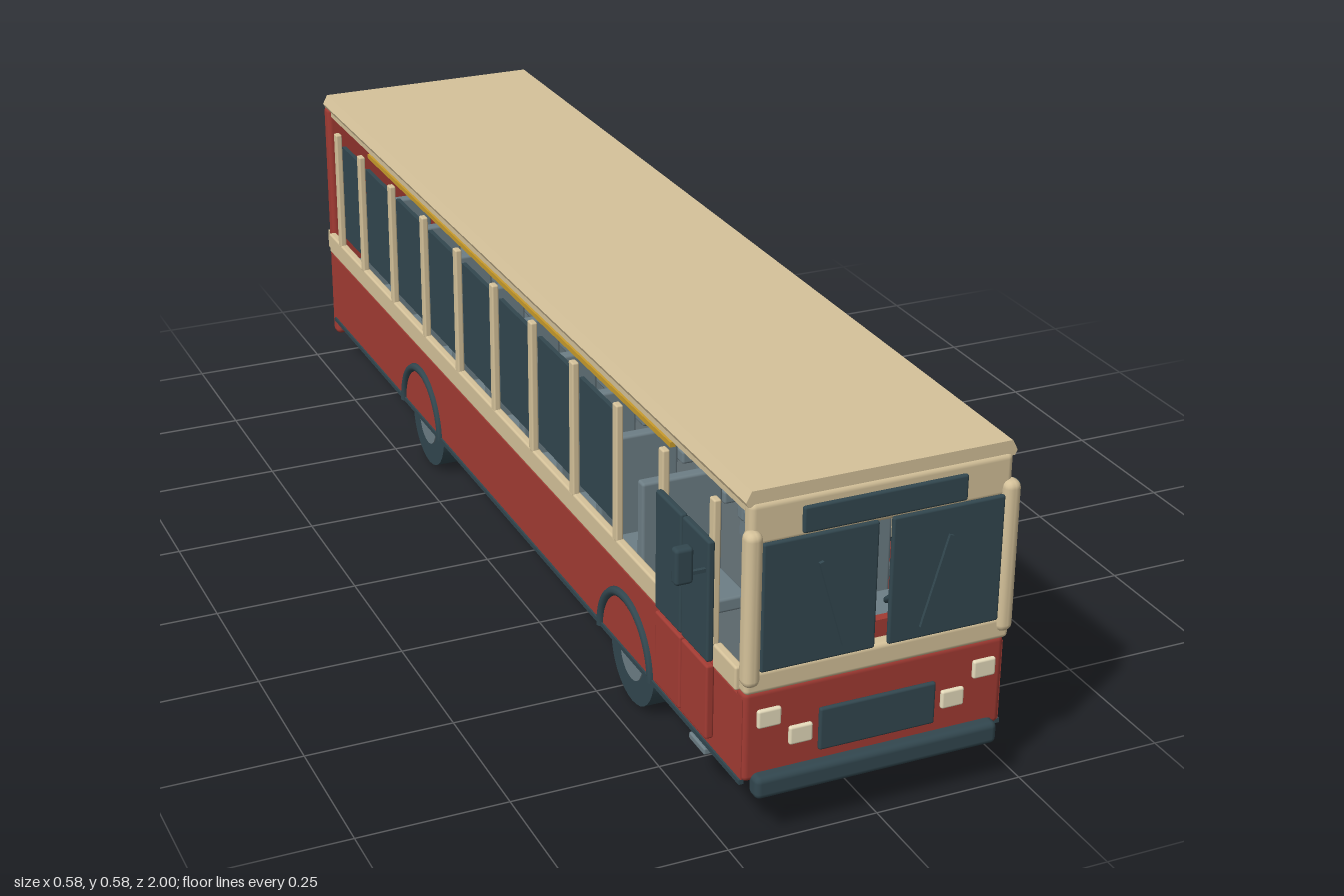
import * as THREE from 'three';
import { RoundedBoxGeometry } from 'three/addons/geometries/RoundedBoxGeometry.js';

const mat = (name, color) => {
  const m = new THREE.MeshStandardMaterial({ color });
  m.name = name;
  return m;
};

export function createModel() {
  const red = mat('red paint', 0xa23b33);
  const beige = mat('beige paint', 0xd5c29a);
  const dark = mat('dark slate', 0x32474f);
  const grey = mat('steel grey', 0x6d7e85);
  const floorGrey = mat('floor grey', 0x5c676c);
  const cream = mat('lamp cream', 0xe6dcbc);
  const yellow = mat('rail yellow', 0xc89b2c);

  const bus = new THREE.Group();
  bus.name = 'bus';

  const add = (name, geometry, material, x = 0, y = 0, z = 0) => {
    const mesh = new THREE.Mesh(geometry, material);
    mesh.name = name;
    mesh.position.set(x, y, z);
    bus.add(mesh);
    return mesh;
  };
  // Box given by its limits on each axis; r rounds the edges
  const box = (name, material, [x0, x1], [y0, y1], [z0, z1], r = 0) => {
    const s = [x1 - x0, y1 - y0, z1 - z0];
    const g = r ? new RoundedBoxGeometry(...s, 2, Math.min(r, Math.min(...s) * 0.45)) : new THREE.BoxGeometry(...s);
    return add(name, g, material, (x0 + x1) / 2, (y0 + y1) / 2, (z0 + z1) / 2);
  };
  // Same box on one side of the bus: +1 is its left, -1 its right
  const sideBox = (side, name, material, [x0, x1], y, z, r) =>
    box(name, material, side > 0 ? [x0, x1] : [-x1, -x0], y, z, r);
  const bothSides = (...args) => [1, -1].forEach((s) => sideBox(s, ...args));

  // Shell: floor, lower walls, ends and roof
  box('chassisFloor', floorGrey, [-0.215, 0.215], [0.09, 0.105], [-0.96, 0.96]);
  bothSides('lowerWall', red, [0.205, 0.22], [0.1, 0.238], [-0.95, 0.975]);
  bothSides('skirtTrim', dark, [0.215, 0.223], [0.092, 0.1], [-0.95, 0.975]);
  box('frontPanel', red, [-0.22, 0.22], [0.095, 0.25], [0.95, 0.98], 0.01);
  box('dashboardPanel', red, [-0.2, 0.2], [0.24, 0.315], [0.95, 0.965]);
  box('rearPanel', red, [-0.22, 0.22], [0.062, 0.555], [-0.975, -0.945], 0.01);
  box('roofRail', beige, [-0.213, 0.213], [0.537, 0.558], [-0.95, 0.972]);

  // Roof slab with chamfered upper edges
  const roofShape = new THREE.Shape([
    [-0.218, 0.552], [0.218, 0.552], [0.222, 0.56], [0.213, 0.577], [-0.213, 0.577], [-0.222, 0.56],
  ].map(([x, y]) => new THREE.Vector2(x, y)));
  add('roof', new THREE.ExtrudeGeometry(roofShape, { depth: 1.944, bevelEnabled: false }), beige, 0, 0, -0.967);

  // Windscreen frame
  box('frontHeader', beige, [-0.216, 0.216], [0.487, 0.558], [0.955, 0.981], 0.01);
  box('frontBelt', beige, [-0.222, 0.222], [0.248, 0.287], [0.96, 0.987], 0.008);
  bothSides('cornerPost', beige, [0.198, 0.226], [0.262, 0.516], [0.965, 0.995], 0.013);

  // Belt lines along the sides, stopped at the door on the right
  sideBox(1, 'sideBelt', beige, [0.214, 0.229], [0.25, 0.29], [-0.945, 0.968], 0.004);
  sideBox(-1, 'sideBelt', beige, [0.214, 0.229], [0.25, 0.29], [-0.945, 0.7], 0.004);
  sideBox(-1, 'frontSideBelt', beige, [0.214, 0.229], [0.25, 0.29], [0.89, 0.968], 0.004);

  // Pillars with a window pane in each bay
  const pillars = [0.88, 0.7, 0.525, 0.347, 0.167, -0.012, -0.193, -0.37, -0.55, -0.73, -0.874];
  pillars.forEach((z, i) => {
    bothSides('windowPillar', beige, [0.217, 0.229], [0.285, 0.525], [z - 0.009, z + 0.009], 0.003);
    if (i === pillars.length - 1) return;
    const pane = [pillars[i + 1] + 0.016, z - 0.016];
    sideBox(1, 'sideWindow', dark, [0.212, 0.22], [0.308, 0.503], pane);
    if (i > 1) sideBox(-1, 'sideWindow', dark, [0.212, 0.22], [0.308, 0.503], pane);
  });

  // Two-leaf door on the right side, with a step below
  for (const z of [0.702, 0.798]) {
    sideBox(-1, 'doorGlass', dark, [0.226, 0.238], [0.258, 0.46], [z, z + 0.092], 0.004);
    sideBox(-1, 'doorPanel', red, [0.224, 0.238], [0.125, 0.252], [z, z + 0.092], 0.004);
  }
  box('doorStep', grey, [-0.222, -0.15], [0.072, 0.084], [0.797, 0.853], 0.003);
  for (const z of [0.802, 0.848]) box('stepBracket', grey, [-0.18, -0.17], [0.08, 0.095], [z - 0.004, z + 0.004]);

  // Front face: windscreens, wipers, sign, grille
  bothSides('windscreen', dark, [0.011, 0.199], [0.285, 0.496], [0.982, 0.991], 0.004);
  box('frontSign', dark, [-0.135, 0.135], [0.499, 0.542], [0.981, 0.99], 0.004);
  box('frontGrille', dark, [-0.098, 0.098], [0.129, 0.201], [0.982, 0.991], 0.004);
  for (const s of [1, -1]) {
    const wiper = add('wiper', new THREE.BoxGeometry(0.007, 0.152, 0.005), dark, s * 0.086, 0.378, 0.994);
    wiper.rotation.z = -s * 0.285;
  }

  // Rear face: belt, windows, sign, plate
  const rear = [-0.99, -0.981];
  box('rearBelt', beige, [-0.22, 0.22], [0.248, 0.284], [-0.979, -0.97]);
  bothSides('rearWindow', dark, [0.015, 0.198], [0.322, 0.485], rear, 0.004);
  box('rearSign', dark, [-0.125, 0.125], [0.497, 0.53], rear, 0.004);
  box('rearPlate', dark, [-0.085, 0.085], [0.17, 0.212], rear, 0.004);

  // Lamps and bumpers on both ends
  for (const z of [[0.982, 0.991], rear]) {
    bothSides('outerLamp', cream, [0.162, 0.201], [0.19, 0.221], z, 0.004);
    bothSides('innerLamp', cream, [0.109, 0.148], [0.15, 0.181], z, 0.004);
  }
  box('frontBumper', dark, [-0.206, 0.206], [0.072, 0.11], [0.97, 1], 0.01);
  box('rearBumper', dark, [-0.206, 0.206], [0.072, 0.11], [-1, -0.97], 0.01);

  // Wheels and arches
  const tyre = new THREE.CylinderGeometry(0.085, 0.085, 0.056, 32).rotateZ(Math.PI / 2);
  const hub = new THREE.CylinderGeometry(0.043, 0.043, 0.06, 24).rotateZ(Math.PI / 2);
  const arch = new THREE.TorusGeometry(0.101, 0.008, 8, 28, Math.PI).rotateY(Math.PI / 2);
  for (const z of [0.55, -0.42]) {
    for (const s of [1, -1]) {
      add('tyre', tyre, dark, s * 0.18, 0.085, z);
      add('hub', hub, grey, s * 0.18, 0.085, z);
      add('wheelArch', arch, dark, s * 0.22, 0.093, z);
    }
  }

  // Mirrors on thin arms
  bothSides('mirrorArm', dark, [0.215, 0.265], [0.407, 0.413], [0.877, 0.883]);
  bothSides('mirror', dark, [0.26, 0.29], [0.396, 0.456], [0.87, 0.89], 0.006);

  // Seat rows, rear bench and hand rails
  for (let i = 0; i < 9; i++) {
    const z = 0.57 - i * 0.17;
    bothSides('seatCushion', grey, [0.06, 0.2], [0.2, 0.225], [z, z + 0.1], 0.005);
    bothSides('seatBack', grey, [0.06, 0.2], [0.2, 0.4], [z - 0.022, z], 0.005);
    bothSides('seatLeg', grey, [0.12, 0.14], [0.1, 0.205], [z + 0.04, z + 0.06]);
  }
  box('rearBench', grey, [-0.2, 0.2], [0.105, 0.225], [-0.945, -0.88]);
  bothSides('handRail', yellow, [0.158, 0.167], [0.471, 0.48], [-0.86, 0.6]);

  // Driver's seat and steering wheel on the left
  box('driverSeat', grey, [0.06, 0.16], [0.105, 0.22], [0.73, 0.81], 0.006);
  box('driverSeatBack', grey, [0.06, 0.16], [0.2, 0.38], [0.71, 0.73], 0.006);
  const steering = add('steeringWheel', new THREE.TorusGeometry(0.038, 0.005, 8, 24), dark, 0.11, 0.295, 0.88);
  steering.rotation.x = 0.9;
  const column = add('steeringColumn', new THREE.CylinderGeometry(0.006, 0.006, 0.11, 8), grey, 0.11, 0.26, 0.92);
  column.rotation.x = -0.8;

  return bus;
}
